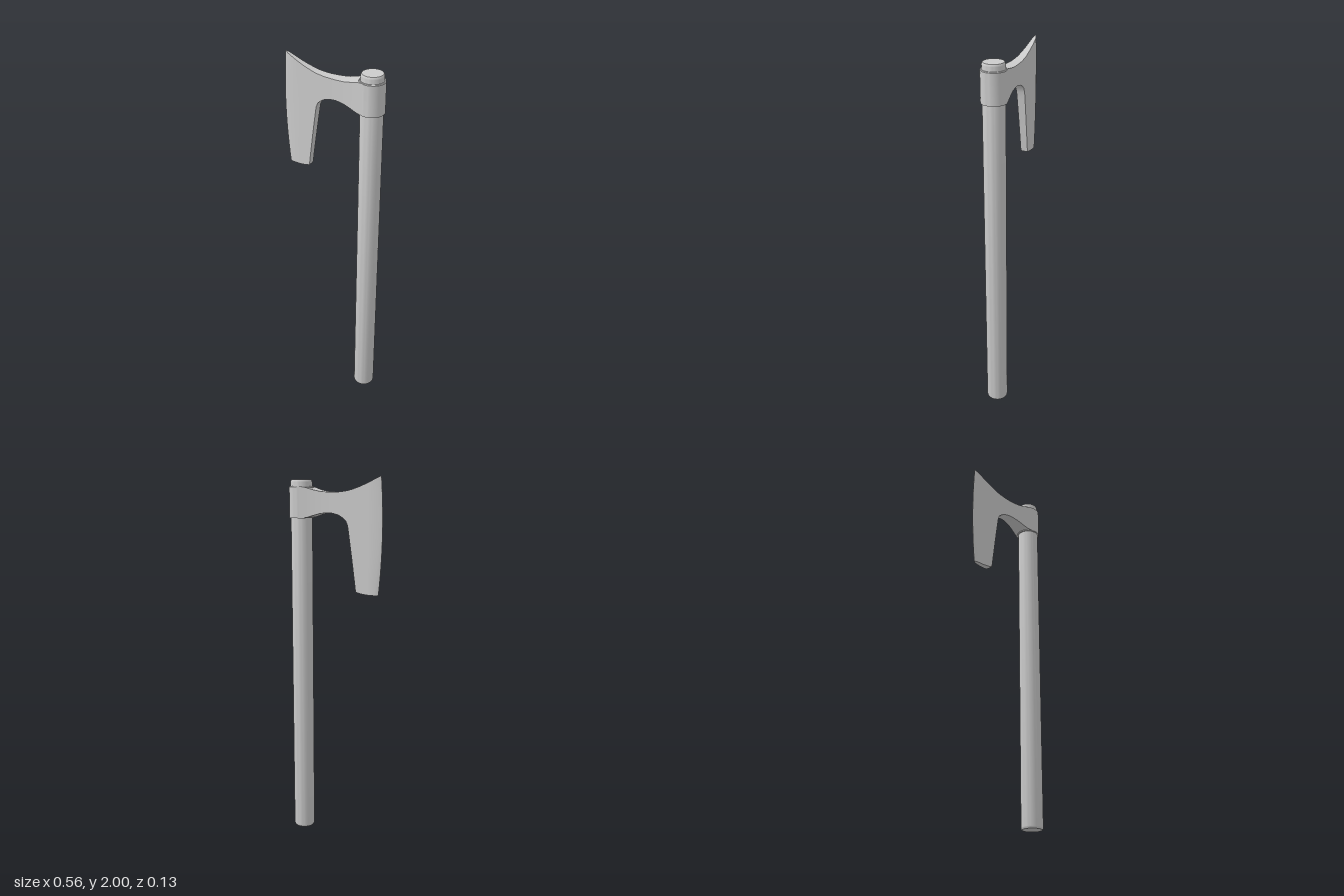
import * as THREE from 'three';
import { toCreasedNormals } from 'three/addons/utils/BufferGeometryUtils.js';

const material = new THREE.MeshStandardMaterial({ color: 0xcccccc });
const HAFT_X = 0.212;

// Closed turned part around the haft axis, from [radius, height] pairs
function turned(name, profile) {
  const points = profile.map(([r, y]) => new THREE.Vector2(r, y));
  const geometry = toCreasedNormals(new THREE.LatheGeometry(points, 48), 0.5);
  const mesh = new THREE.Mesh(geometry, material);
  mesh.name = name;
  mesh.position.x = HAFT_X;
  return mesh;
}

// Half thickness of the axe head by distance along x: [x, half]
const THICKNESS = [[-0.28, 0.004], [-0.255, 0.009], [-0.2, 0.0145], [-0.1, 0.022],
  [0, 0.029], [0.06, 0.035], [0.11, 0.043], [0.15, 0.051], [0.18, 0.06], [0.2, 0.0645]];

function halfThickness(x) {
  let i = 1;
  while (i < THICKNESS.length - 1 && x > THICKNESS[i][0]) i++;
  const [x0, h0] = THICKNESS[i - 1], [x1, h1] = THICKNESS[i];
  return h0 + (h1 - h0) * THREE.MathUtils.clamp((x - x0) / (x1 - x0), 0, 1);
}

// Slices from cutting edge to root: [top x, top y, bottom x, bottom y, bulge of the slice]
const SLICES = [
  [-0.27, 2.0, -0.26, 1.391, 0.015], [-0.252, 1.991, -0.242, 1.39, 0.015],
  [-0.205, 1.968, -0.2, 1.391, 0.006], [-0.165, 1.951, -0.165, 1.395, 0],
  [-0.14, 1.942, -0.135, 1.402, 0], [-0.125, 1.937, -0.122, 1.5, 0],
  [-0.11, 1.932, -0.107, 1.61, 0], [-0.095, 1.928, -0.094, 1.7, 0],
  [-0.085, 1.926, -0.087, 1.745, 0], [-0.075, 1.924, -0.077, 1.77, 0],
  [-0.06, 1.922, -0.06, 1.785, 0], [-0.035, 1.919, -0.035, 1.8, 0],
  [0, 1.918, 0, 1.809, 0], [0.035, 1.918, 0.035, 1.811, 0],
  [0.075, 1.921, 0.075, 1.806, 0], [0.115, 1.929, 0.115, 1.795, 0],
  [0.15, 1.939, 0.15, 1.784, 0], [0.175, 1.944, 0.175, 1.781, 0],
  [0.2, 1.944, 0.2, 1.781, 0]];
const ROWS = 12;

function axeHeadGeometry() {
  const positions = [];
  const point = (i, j, side) => {
    const [tx, ty, bx, by, bulge] = SLICES[i];
    const v = j / ROWS;
    const x = bx + (tx - bx) * v - bulge * 4 * v * (1 - v);
    const half = i === 0 ? 0.0006 : halfThickness(x);
    return [x, by + (ty - by) * v, side * half];
  };
  const quad = (a, b, c, d) => positions.push(...a, ...b, ...c, ...a, ...c, ...d);

  for (let i = 0; i < SLICES.length - 1; i++) {
    // Two cheeks
    for (let j = 0; j < ROWS; j++) {
      quad(point(i, j, 1), point(i + 1, j, 1), point(i + 1, j + 1, 1), point(i, j + 1, 1));
      quad(point(i, j, -1), point(i, j + 1, -1), point(i + 1, j + 1, -1), point(i + 1, j, -1));
    }
    // Upper and lower rims
    quad(point(i, ROWS, 1), point(i + 1, ROWS, 1), point(i + 1, ROWS, -1), point(i, ROWS, -1));
    quad(point(i, 0, 1), point(i, 0, -1), point(i + 1, 0, -1), point(i + 1, 0, 1));
  }
  // Narrow face of the cutting edge
  for (let j = 0; j < ROWS; j++) {
    quad(point(0, j, -1), point(0, j, 1), point(0, j + 1, 1), point(0, j + 1, -1));
  }
  const geometry = new THREE.BufferGeometry();
  geometry.setAttribute('position', new THREE.Float32BufferAttribute(positions, 3));
  return toCreasedNormals(geometry, 0.5);
}

export function createModel() {
  const model = new THREE.Group();
  model.name = 'beardedAxe';

  // Straight round haft with softened ends
  model.add(turned('haft', [[0, 0], [0.053, 0], [0.057, 0.006], [0.058, 0.012],
    [0.058, 1.968], [0.057, 1.974], [0.053, 1.98], [0, 1.98]]));

  // Socket of the head wrapped around the haft
  model.add(turned('socket', [[0.056, 1.78], [0.066, 1.78], [0.066, 1.942],
    [0.063, 1.946], [0.056, 1.946]]));

  const head = new THREE.Mesh(axeHeadGeometry(), material);
  head.name = 'axeHead';
  model.add(head);
  return model;
}
